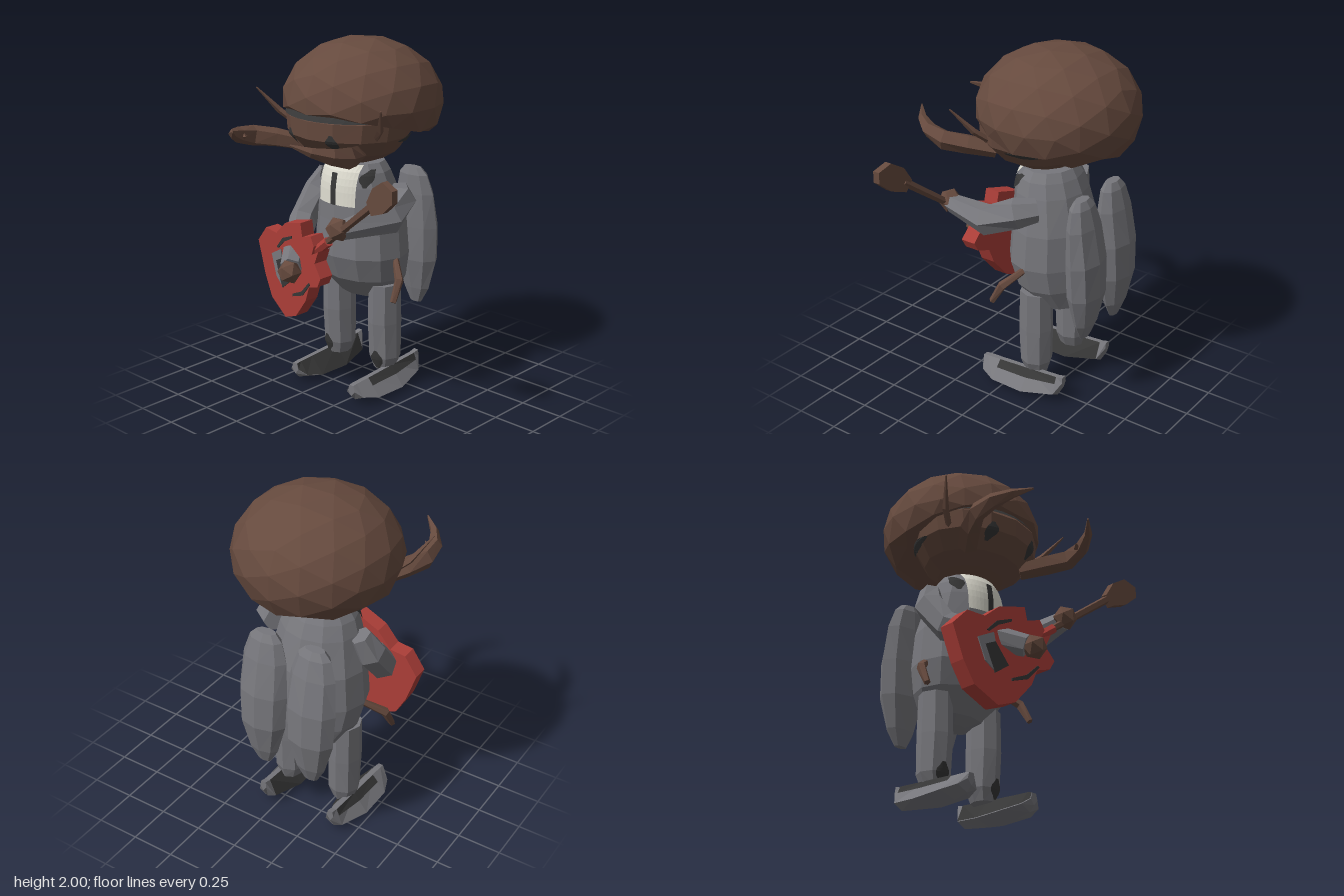
import * as THREE from 'three';

const V = (x, y, z) => new THREE.Vector3(x, y, z);
const mat = (name, color) => {
  const m = new THREE.MeshStandardMaterial({ color });
  m.name = name;
  return m;
};

// flat-shaded version of any geometry
function facet(geo) {
  const g = geo.index ? geo.toNonIndexed() : geo;
  g.computeVertexNormals();
  return g;
}

// skin a list of rings; closed skins get end caps
function skin(rings, closed = true) {
  const n = rings[0].length, pos = [], idx = [];
  rings.flat().forEach(p => pos.push(p.x, p.y, p.z));
  const cols = closed ? n : n - 1;
  for (let i = 0; i < rings.length - 1; i++) {
    for (let j = 0; j < cols; j++) {
      const a = i * n + j, b = i * n + (j + 1) % n;
      idx.push(a, b, b + n, a, b + n, a + n);
    }
  }
  if (closed) {
    [0, rings.length - 1].forEach((r, end) => {
      const c = rings[r].reduce((s, p) => s.add(p), V(0, 0, 0)).divideScalar(n);
      const k = pos.length / 3;
      pos.push(c.x, c.y, c.z);
      for (let j = 0; j < n; j++) {
        const a = r * n + j, b = r * n + (j + 1) % n;
        if (end) idx.push(k, a, b); else idx.push(k, b, a);
      }
    });
  }
  const g = new THREE.BufferGeometry();
  g.setAttribute('position', new THREE.Float32BufferAttribute(pos, 3));
  g.setIndex(idx);
  return facet(g);
}

// upright body from a profile of [y, rx, rz, cz]
const onRing = ([y, rx, rz, cz], a, off = 0) =>
  V((rx + off) * Math.sin(a), y, cz + (rz + off) * Math.cos(a));
const loft = (profile, sides) => skin(profile.map(r =>
  Array.from({ length: sides }, (_, j) => onRing(r, j / sides * Math.PI * 2))));

// angle ranges for patches: between two x positions, or between two angles
const across = (x0, x1) => rx => [x0, x1].map(x => Math.asin(x / Math.max(rx, Math.abs(x))));
const around = (a0, a1) => () => [a0, a1];

// thin painted patch that follows a profile; round patches are oval
function patch(profile, range, y0, y1, off = 0.006, round = false) {
  const at = y => {
    let i = 0;
    while (i < profile.length - 2 && profile[i + 1][0] < y) i++;
    const p = profile[i], q = profile[i + 1], t = (y - p[0]) / (q[0] - p[0]);
    return p.map((v, k) => v + (q[k] - v) * t);
  };
  const ys = Array.from({ length: 7 }, (_, i) => y0 + (y1 - y0) * i / 6);
  return skin(ys.map((y, i) => {
    const ring = at(y), [a0, a1] = range(ring[1]);
    const half = (a1 - a0) / 2 * (round ? Math.max(0.25, Math.sin(i / 6 * Math.PI)) : 1);
    return Array.from({ length: 13 }, (_, j) =>
      onRing(ring, (a0 + a1) / 2 + half * (j / 6 - 1), off));
  }), false);
}

// limb along points [x, y, z, width, height]
function limb(path, sides = 6, ref = V(0, 1, 0)) {
  const P = path.map(p => V(p[0], p[1], p[2]));
  return skin(P.map((p, i) => {
    const T = P[Math.min(i + 1, P.length - 1)].clone().sub(P[Math.max(i - 1, 0)]).normalize();
    const S = ref.clone().cross(T).normalize(), B = T.clone().cross(S);
    const w = path[i][3], h = path[i][4] ?? w;
    return Array.from({ length: sides }, (_, j) => {
      const a = j / sides * Math.PI * 2;
      return p.clone().addScaledVector(S, w * Math.cos(a)).addScaledVector(B, h * Math.sin(a));
    });
  }));
}

// mirror a facetted geometry across x = 0, keeping faces outward
function mirrored(geo) {
  const g = geo.clone().scale(-1, 1, 1), p = g.attributes.position, u = V(0, 0, 0), v = V(0, 0, 0);
  for (let i = 0; i < p.count; i += 3) {
    u.fromBufferAttribute(p, i + 1);
    v.fromBufferAttribute(p, i + 2);
    p.setXYZ(i + 1, v.x, v.y, v.z);
    p.setXYZ(i + 2, u.x, u.y, u.z);
  }
  g.computeVertexNormals();
  return g;
}

export function createModel() {
  const brown = mat('brown shell', 0x664a3e), grey = mat('grey suit', 0x77777c);
  const red = mat('guitar red', 0xab3e38), white = mat('shirt white', 0xdedcd0);
  const dark = mat('dark trim', 0x363636);
  const root = new THREE.Group();
  root.name = 'beetleGuitarist';
  const beetle = new THREE.Group();
  beetle.name = 'beetle';
  beetle.position.x = -0.165;
  root.add(beetle);
  const add = (parent, name, geo, m) => {
    const mesh = new THREE.Mesh(geo, m);
    mesh.name = name;
    parent.add(mesh);
  };
  const pair = (name, geo, m) => {
    add(beetle, name + 'Left', geo, m);
    add(beetle, name + 'Right', mirrored(geo), m);
  };

  // mop of hair: a dome cut by a rim that slopes down to the back
  const hair = new THREE.IcosahedronGeometry(1, 2);
  const hp = hair.attributes.position;
  for (let i = 0; i < hp.count; i++) {
    const z = -0.165 + hp.getZ(i) * 0.448;
    const rim = Math.min(1.635, 1.575 + 0.25 * z);
    hp.setXYZ(i, hp.getX(i) * 0.448, Math.max(1.655 + hp.getY(i) * 0.35, rim), z);
  }
  add(beetle, 'hair', facet(hair), brown);

  // head with eyes and dark bands under the hair
  const head = [[1.325, 0.09, 0.09, -0.1], [1.36, 0.19, 0.17, -0.09], [1.41, 0.28, 0.25, -0.07],
    [1.5, 0.355, 0.315, -0.05], [1.6, 0.37, 0.33, -0.06], [1.7, 0.3, 0.28, -0.08]];
  add(beetle, 'head', loft(head, 14), brown);
  add(beetle, 'browBand', patch(head, across(-0.34, 0.34), 1.605, 1.64), dark);
  pair('sideBand', patch(head, around(1.6, 2.4), 1.47, 1.51, 0.006, true), dark);
  pair('eye', patch(head, across(0.112, 0.18), 1.445, 1.54, 0.008, true), dark);

  // curved mandibles with an inner tooth, and antennae
  pair('mandible', limb([[0.2, 1.42, 0.1, 0.055, 0.045], [0.295, 1.455, 0.22, 0.058, 0.055],
    [0.36, 1.475, 0.33, 0.045, 0.06], [0.35, 1.5, 0.44, 0.04, 0.045],
    [0.295, 1.53, 0.53, 0.024, 0.027], [0.215, 1.565, 0.6, 0.004, 0.006]], 5), brown);
  pair('mandibleTooth', limb([[0.35, 1.49, 0.41, 0.03], [0.285, 1.5, 0.45, 0.002]], 4), brown);
  pair('antenna', limb([[0.29, 1.5, 0.05, 0.016], [0.38, 1.58, 0.11, 0.018],
    [0.465, 1.71, 0.2, 0.004]], 4), brown);

  // body, shirt front, tie and lapels
  const body = [[0.51, 0.08, 0.07, -0.22], [0.54, 0.18, 0.15, -0.22], [0.66, 0.262, 0.21, -0.175],
    [0.8, 0.292, 0.238, -0.155], [1.0, 0.275, 0.225, -0.155], [1.2, 0.228, 0.195, -0.13],
    [1.28, 0.2, 0.17, -0.12], [1.33, 0.165, 0.14, -0.12]];
  add(beetle, 'body', loft(body, 12), grey);
  add(beetle, 'shirt', patch(body, across(-0.13, 0.13), 1.1, 1.328), white);
  add(beetle, 'tie', patch(body, across(-0.019, 0.019), 1.1, 1.28, 0.01), dark);
  pair('lapel', patch(body, across(0.135, 0.19), 1.21, 1.305, 0.007, true), dark);

  // wing cases hanging down the back
  const wing = [[0.43, 0.04, 0.02, -0.46], [0.52, 0.09, 0.05, -0.465], [0.7, 0.14, 0.088, -0.465],
    [0.9, 0.15, 0.088, -0.458], [1.1, 0.135, 0.068, -0.438], [1.21, 0.1, 0.05, -0.425],
    [1.25, 0.06, 0.03, -0.42]];
  pair('wingCase', loft(wing, 8).translate(0.15, 0, 0), grey);

  // thin middle legs
  pair('middleLeg', limb([[0.26, 0.8, -0.15, 0.018], [0.37, 0.71, -0.06, 0.026],
    [0.38, 0.6, 0, 0.018]], 5, V(0, 0, 1)), brown);

  // legs with dark cuffs
  const leg = [[0.12, 0.06, 0.07, -0.16], [0.19, 0.09, 0.09, -0.16], [0.4, 0.092, 0.1, -0.155],
    [0.63, 0.088, 0.095, -0.155]];
  pair('leg', loft(leg, 8).translate(0.178, 0, 0), grey);
  pair('cuff', patch(leg, across(-0.025, 0.05), 0.13, 0.24, 0.005, true).translate(0.178, 0, 0), dark);

  // wedge shoes, dark on the inner side and upper: [z, half width, top, bottom]
  const shoe = [[-0.38, 0.02, 0.165, 0.1], [-0.34, 0.055, 0.155, 0.03], [-0.15, 0.1, 0.14, 0],
    [0.05, 0.1, 0.125, 0.003], [0.14, 0.065, 0.12, 0.02], [0.17, 0.025, 0.115, 0.05]];
  pair('shoe', skin(shoe.map(([z, w, t, b]) => [V(0.225, b, z), V(0.225 + w, b + 0.03, z),
    V(0.24, t, z), V(0.21, t, z), V(0.225 - w, b + 0.03, z)])), grey);
  pair('shoeInnerSide', skin(shoe.slice(1).map(([z, w, t, b]) => [V(0.207, t + 0.003, z),
    V(0.221 - w, b + 0.032, z)]), false), dark);
  pair('shoeUpper', skin(shoe.slice(1, 4).map(([z, w, t, b]) => {
    const top = V(0.243, t + 0.003, z);
    return [V(0.229 + w, b + 0.032, z).lerp(top, 0.6), top];
  }), false), dark);

  // arms and hands
  add(root, 'leftArm', limb([[0.08, 1.16, -0.2, 0.065], [0.16, 1.15, -0.12, 0.085],
    [0.215, 1.09, 0.03, 0.085], [0.14, 1.075, 0.33, 0.052]]), grey);
  add(root, 'rightArm', limb([[-0.41, 1.21, -0.14, 0.06], [-0.45, 1.1, -0.1, 0.085],
    [-0.45, 0.94, 0.03, 0.08], [-0.2, 0.8, 0.37, 0.06]], 6, V(1, 0, 0)), grey);
  [['leftHand', 0.135, 1.085, 0.345], ['rightHand', -0.175, 0.79, 0.405]].forEach(([n, x, y, z]) =>
    add(root, n, facet(new THREE.IcosahedronGeometry(0.068, 0)).translate(x, y, z), brown));

  // guitar: flat outlines extruded, then slanted forward towards the headstock
  const guitar = new THREE.Group();
  guitar.name = 'guitar';
  root.add(guitar);
  const slab = (name, pts, z, depth, m) => {
    const shape = new THREE.Shape(pts.map(p => new THREE.Vector2(p[0], p[1])));
    const g = new THREE.ExtrudeGeometry(shape, { depth, bevelEnabled: false });
    const p = g.attributes.position;
    for (let i = 0; i < p.count; i++) p.setZ(i, p.getZ(i) + z + 0.2 * p.getX(i));
    add(guitar, name, facet(g), m);
  };
  slab('guitarBody', [[-0.6, 0.84], [-0.515, 0.935], [-0.41, 0.93], [-0.32, 1.01], [-0.165, 1.05],
    [-0.15, 0.975], [-0.07, 1.0], [-0.04, 0.95], [-0.06, 0.9], [0, 0.93], [-0.035, 0.855],
    [0.02, 0.785], [-0.01, 0.73], [-0.09, 0.705], [-0.125, 0.615], [-0.225, 0.495],
    [-0.33, 0.455], [-0.47, 0.535], [-0.535, 0.655]], 0.27, 0.09, red);
  slab('headstock', [[0.405, 1.3], [0.455, 1.385], [0.535, 1.435], [0.615, 1.405], [0.615, 1.34],
    [0.54, 1.275], [0.445, 1.24]], 0.3, 0.04, brown);
  slab('pickup', [[-0.41, 0.77], [-0.35, 0.8], [-0.27, 0.685], [-0.35, 0.625]], 0.36, 0.006, dark);
  slab('bridge', [[-0.455, 0.8], [-0.36, 0.85], [-0.35, 0.8], [-0.41, 0.77], [-0.36, 0.64],
    [-0.41, 0.68]], 0.36, 0.006, grey);
  slab('upperSoundSlot', [[-0.4, 0.855], [-0.34, 0.92], [-0.25, 0.955], [-0.25, 0.94],
    [-0.33, 0.9], [-0.385, 0.85]], 0.36, 0.006, dark);
  slab('lowerSoundSlot', [[-0.25, 0.62], [-0.16, 0.66], [-0.09, 0.73], [-0.08, 0.72],
    [-0.15, 0.64], [-0.25, 0.605]], 0.36, 0.006, dark);
  add(guitar, 'neckHeel', limb([[-0.09, 0.89, 0.3, 0.028], [0.05, 0.995, 0.33, 0.028]], 6), red);
  add(guitar, 'neck', limb([[0.04, 0.99, 0.328, 0.02], [0.45, 1.3, 0.405, 0.024]], 5), brown);

  return root;
}
